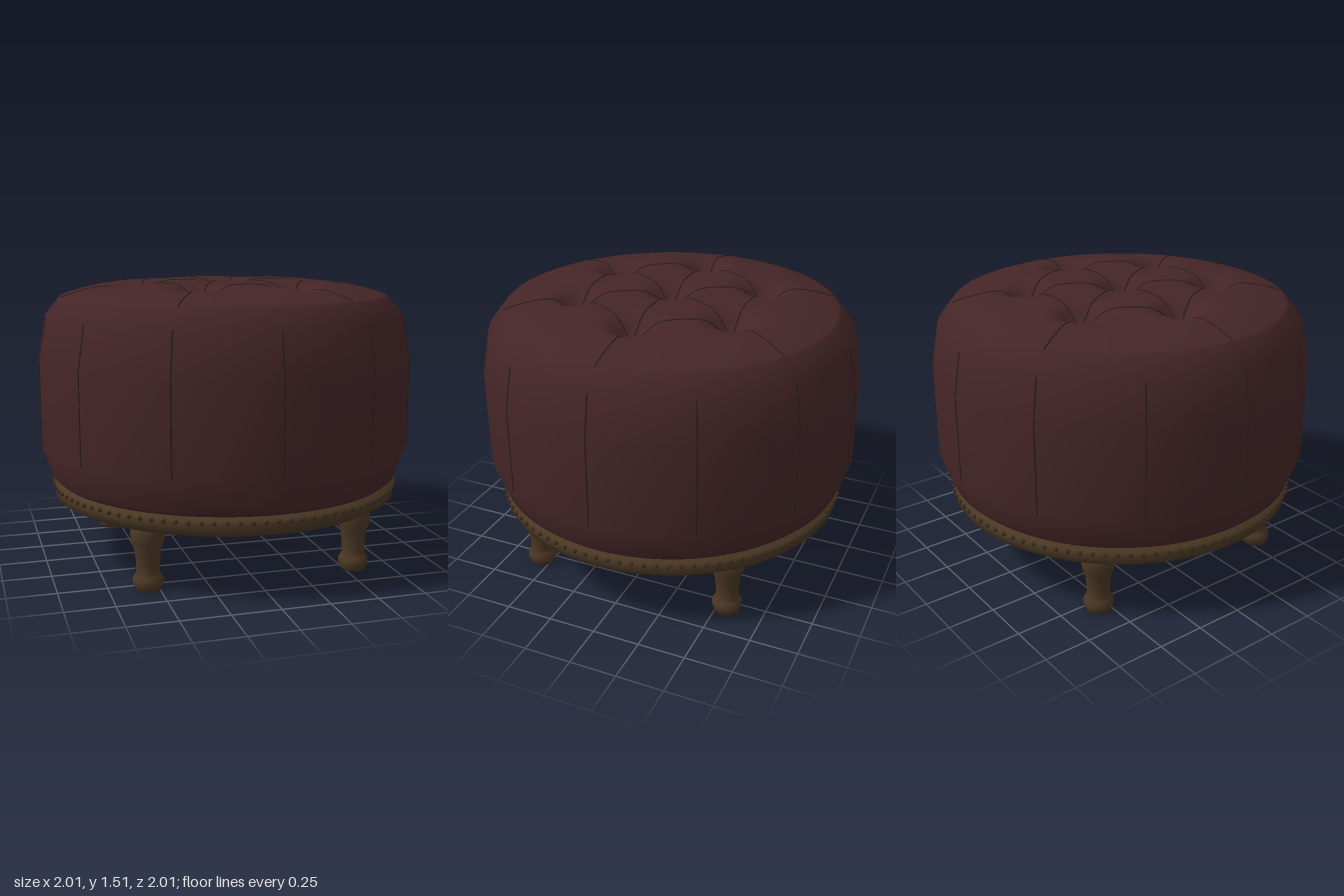
import * as THREE from 'three';
import { mergeVertices } from 'three/addons/utils/BufferGeometryUtils.js';

const mat = (name, color) => {
  const m = new THREE.MeshStandardMaterial({ color });
  m.name = name;
  return m;
};
const pts = (list) => list.map(([r, y]) => new THREE.Vector2(r, y));

export function createModel() {
  const leather = mat('oxblood leather', 0x452527);
  const wood = mat('dark wood', 0x4a3723);
  const thread = mat('seam thread', 0x2a2117);
  const stud = mat('dark studs', 0x3a2c20);

  const model = new THREE.Group();
  model.name = 'tuftedFootstool';
  const add = (name, geometry, material, parent = model) => {
    const mesh = new THREE.Mesh(geometry, material);
    mesh.name = name;
    parent.add(mesh);
    return mesh;
  };
  const group = (name) => {
    const g = new THREE.Group();
    g.name = name;
    model.add(g);
    return g;
  };

  // Tuft positions: one in the middle and six around it
  const tufts = [[0, 0]];
  for (let i = 0; i < 6; i++) {
    const a = (i * Math.PI) / 3;
    tufts.push([0.49 * Math.cos(a), 0.49 * Math.sin(a)]);
  }
  const dimple = (x, z) => tufts.reduce(
    (sum, [tx, tz]) => sum + 0.1 * Math.exp(-((x - tx) ** 2 + (z - tz) ** 2) / 0.0085), 0);
  const crown = (r) => 1.502 - 0.082 * (r / 0.88) ** 4;
  const topHeight = (x, z) => crown(Math.hypot(x, z)) - dimple(x, z);

  // Cushion: turned side, then a fine crown pressed in at the tufts
  const profile = pts([[0.9, 0.43], [0.92, 0.445], [0.942, 0.465], [1, 0.63], [1, 1.1], [0.96, 1.32]]);
  for (let i = 0; i <= 56; i++) {
    const r = 0.88 * (1 - i / 56);
    profile.push(new THREE.Vector2(r, crown(r)));
  }
  let cushion = new THREE.LatheGeometry(profile, 120);
  const p = cushion.attributes.position;
  for (let i = 0; i < p.count; i++) {
    if (p.getY(i) > 1.4) p.setY(i, p.getY(i) - dimple(p.getX(i), p.getZ(i)));
  }
  cushion.deleteAttribute('uv');
  cushion.deleteAttribute('normal');
  cushion = mergeVertices(cushion, 1e-4);
  cushion.computeVertexNormals();
  add('cushion', cushion, leather);

  // Top seams: spokes through the tufts and the hexagon joining them
  const seams = group('seams');
  const topSeam = (a, b, steps = 28) => {
    const path = [];
    for (let i = 0; i <= steps; i++) {
      const x = a[0] + ((b[0] - a[0]) * i) / steps;
      const z = a[1] + ((b[1] - a[1]) * i) / steps;
      path.push(new THREE.Vector3(x, topHeight(x, z), z));
    }
    add('topSeam', new THREE.TubeGeometry(new THREE.CatmullRomCurve3(path), 48, 0.0045, 5), thread, seams);
  };
  for (let i = 0; i < 6; i++) {
    const t = tufts[i + 1];
    topSeam(tufts[0], t);
    topSeam(t, t.map((v) => (v * 0.88) / 0.49));
    if (i !== 5) topSeam(t, tufts[i + 2]);
    else topSeam(t, tufts[1]);
  }

  // Twelve upright seams round the side
  for (let i = 0; i < 12; i++) {
    const a = (i * Math.PI) / 6;
    const at = (r, y) => new THREE.Vector3(r * Math.cos(a), y, r * Math.sin(a));
    const path = new THREE.CurvePath();
    path.add(new THREE.LineCurve3(at(1, 0.63), at(1, 1.1)));
    path.add(new THREE.LineCurve3(at(1, 1.1), at(0.96, 1.32)));
    add('sideSeam', new THREE.TubeGeometry(path, 16, 0.0045, 5), thread, seams);
  }

  // Tuft buttons
  const buttons = group('buttons');
  for (const [x, z] of tufts) {
    const b = add('button', new THREE.SphereGeometry(0.02, 14, 10), leather, buttons);
    b.position.set(x, topHeight(x, z) + 0.004, z);
    b.scale.y = 0.6;
  }

  // Wooden base ring, closed underneath
  add('base', new THREE.LatheGeometry(
    pts([[0.87, 0.335], [0.9, 0.338], [0.935, 0.36], [0.942, 0.4], [0.935, 0.425], [0.9, 0.445]]), 96), wood);
  const underside = add('underside', new THREE.CircleGeometry(0.87, 96), wood);
  underside.rotation.x = Math.PI / 2;
  underside.position.y = 0.335;

  // Upholstery studs along the base
  const studs = group('studs');
  const studGeometry = new THREE.SphereGeometry(0.012, 8, 6);
  for (let i = 0; i < 96; i++) {
    const a = (i * Math.PI) / 48;
    add('stud', studGeometry, stud, studs).position.set(0.94 * Math.cos(a), 0.415, 0.94 * Math.sin(a));
  }

  // Four turned legs
  const legGeometry = new THREE.LatheGeometry(pts([
    [0, 0], [0.066, 0], [0.068, 0.015], [0.077, 0.03], [0.078, 0.055], [0.066, 0.075], [0.058, 0.09],
    [0.06, 0.14], [0.066, 0.2], [0.082, 0.25], [0.088, 0.295], [0.078, 0.325], [0.07, 0.34]]), 28);
  for (const x of [-0.553, 0.553]) {
    for (const z of [-0.553, 0.553]) add('leg', legGeometry, wood).position.set(x, 0, z);
  }
  return model;
}
